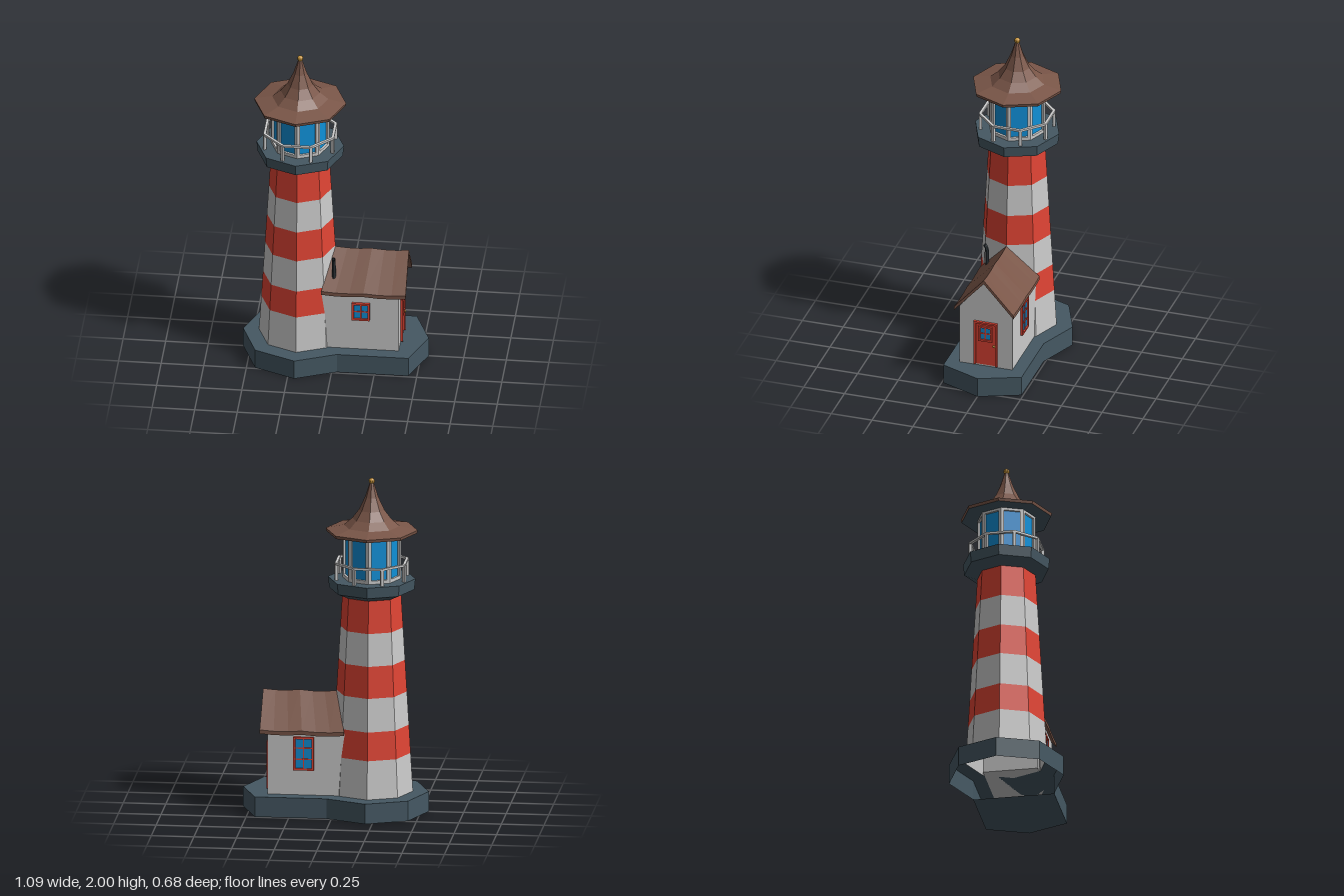
import * as THREE from 'three';

const mat = (color, side = THREE.FrontSide) =>
  new THREE.MeshStandardMaterial({ color, flatShading: true, side });
const pale = mat(0xcccccc), paleOpen = mat(0xcccccc, THREE.DoubleSide);
const red = mat(0xe04434), redOpen = mat(0xe04434, THREE.DoubleSide);
const slate = mat(0x455863, THREE.DoubleSide), brown = mat(0x7a5648);
const blue = mat(0x1090d8), gold = mat(0xc9963a), iron = mat(0x353d42);

const TX = -0.21; // tower axis
const V = (x, y) => new THREE.Vector2(x, y);

function add(parent, name, geo, material, x = 0, y = 0, z = 0) {
  const m = new THREE.Mesh(geo, material);
  m.name = name;
  m.position.set(x, y, z);
  parent.add(m);
  return m;
}
const box = (w, h, d) => new THREE.BoxGeometry(w, h, d);
const octLathe = pts => new THREE.LatheGeometry(pts.map(p => V(...p)), 8);
function group(parent, name, x = 0, y = 0, z = 0) {
  const g = new THREE.Group();
  g.name = name;
  g.position.set(x, y, z);
  parent.add(g);
  return g;
}

// Framed window facing +z
function windowUnit(parent, name, w, h, cols, rows, x, y, z) {
  const g = group(parent, name, x, y, z), f = 0.012;
  add(g, 'glass', box(w - f, h - f, 0.012), blue);
  for (const s of [-1, 1]) {
    add(g, 'frameSide', box(f, h, 0.03), red, s * (w - f) / 2);
    add(g, 'frameRail', box(w, f, 0.03), red, 0, s * (h - f) / 2);
  }
  for (let i = 1; i < cols; i++) add(g, 'mullion', box(0.007, h - f, 0.02), red, w * (i / cols - 0.5));
  for (let i = 1; i < rows; i++) add(g, 'crossbar', box(w - f, 0.007, 0.02), red, 0, h * (i / rows - 0.5));
  return g;
}

function buildPlinth(root) {
  const g = group(root, 'plinth');
  const half = [[-0.545, 0], [-0.45, 0.24], [-0.21, 0.34], [0.03, 0.24], [0.45, 0.24], [0.545, 0]];
  const ring = [...half, ...half.slice(1, 5).reverse().map(([x, z]) => [x, -z])];
  // walls
  const wall = new THREE.PlaneGeometry(1, 0.12, ring.length, 1);
  const p = wall.attributes.position;
  for (let i = 0; i < p.count; i++) {
    const [x, z] = ring[(i % (ring.length + 1)) % ring.length];
    p.setXYZ(i, x, p.getY(i) + 0.06, z);
  }
  add(g, 'plinthWalls', wall, slate);
  // top with an opening under the tower
  const top = new THREE.Shape(ring.map(q => V(...q)));
  const hole = [];
  for (let i = 0; i < 8; i++) hole.push(V(TX + 0.242 * Math.cos(i * Math.PI / 4), 0.242 * Math.sin(i * Math.PI / 4)));
  top.holes.push(new THREE.Path(hole));
  add(g, 'plinthTop', new THREE.ShapeGeometry(top).rotateX(-Math.PI / 2), slate, 0, 0.12);
  // closed underside below the house
  const under = new THREE.Shape(ring.slice(3, 8).map(q => V(...q)));
  add(g, 'plinthUnderside', new THREE.ShapeGeometry(under).rotateX(Math.PI / 2), slate);
}

function buildTower(root) {
  const g = group(root, 'tower', TX);
  const levels = [0.12, 0.35, 0.52, 0.72, 0.91, 1.105, 1.3];
  const r = y => 0.242 - 0.069 * (y - 0.12) / 1.18;
  for (let i = 0; i < 6; i++) {
    const a = levels[i], b = levels[i + 1];
    add(g, i % 2 ? 'redBand' : 'paleBand', new THREE.CylinderGeometry(r(b), r(a), b - a, 8, 1, true),
      i % 2 ? redOpen : paleOpen, 0, (a + b) / 2);
  }
  add(g, 'galleryDeck', octLathe([[0, 1.3], [0.172, 1.3], [0.25, 1.335], [0.257, 1.4], [0, 1.4]]), slate);

  // lantern room: eight frames round a glass core
  add(g, 'lanternGlass', new THREE.CylinderGeometry(0.158, 0.158, 0.28, 8), blue, 0, 1.54);
  const s = 0.066;
  const frame = new THREE.Shape([V(-s, 0), V(s, 0), V(s, 0.28), V(-s, 0.28)]);
  frame.holes.push(new THREE.Path([V(-0.048, 0.02), V(-0.048, 0.26), V(0.048, 0.26), V(0.048, 0.02)]));
  const frameGeo = new THREE.ExtrudeGeometry(frame, { depth: 0.018, bevelEnabled: false }).translate(0, 1.4, 0.141);
  // railing posts stand opposite the panes
  const R = 0.216, rail = group(g, 'railing');
  for (let i = 0; i < 8; i++) {
    const a = (i + 0.5) * Math.PI / 4;
    add(g, 'lanternFrame', frameGeo, pale).rotation.y = a;
    add(rail, 'railPost', box(0.017, 0.1, 0.017), pale, R * Math.sin(a), 1.45, R * Math.cos(a)).rotation.y = a;
    const b = i * Math.PI / 4, ap = R * Math.cos(Math.PI / 8);
    add(rail, 'handrail', box(2 * R * Math.sin(Math.PI / 8) + 0.006, 0.013, 0.016), pale,
      ap * Math.sin(b), 1.499, ap * Math.cos(b)).rotation.y = b;
  }

  add(g, 'lanternSoffit', octLathe([[0, 1.676], [0.266, 1.674]]), slate);
  add(g, 'lanternRoof', octLathe([[0.266, 1.674], [0.27, 1.692], [0.165, 1.715], [0.115, 1.757],
    [0.075, 1.81], [0.04, 1.885], [0.014, 1.965], [0, 1.985]]), brown);
  add(g, 'finial', new THREE.SphereGeometry(0.018, 10, 8), gold, 0, 1.982);
}

function buildHouse(root) {
  const g = group(root, 'house');
  const end = new THREE.Shape([V(-0.162, 0.12), V(0.162, 0.12), V(0.162, 0.495), V(0, 0.69), V(-0.162, 0.495)]);
  add(g, 'houseWalls', new THREE.ExtrudeGeometry(end, { depth: 0.465, bevelEnabled: false })
    .rotateY(Math.PI / 2).translate(-0.08, 0, 0), pale);

  // gently wavy roof slopes, trimmed back toward the tower at the ridge
  for (const side of [1, -1]) {
    const slope = new THREE.BoxGeometry(1, 0.023, 1, 6, 1, 1), p = slope.attributes.position;
    for (let i = 0; i < p.count; i++) {
      const u = p.getX(i) + 0.5, v = 0.5 + side * p.getZ(i);
      const x = THREE.MathUtils.lerp(-0.068 * v - 0.005 * (1 - v), 0.428, u);
      const wave = 0.004 * Math.cos(u * Math.PI * 4);
      p.setXYZ(i, x, p.getY(i) + 0.698 - 0.204 * v + wave, side * 0.182 * v);
    }
    add(g, 'houseRoofSlope', slope, brown);
  }

  // stovepipe with a bent top
  const path = new THREE.CatmullRomCurve3([[0, 0.56, 0.117], [0, 0.64, 0.117], [0, 0.685, 0.12], [0, 0.705, 0.132]]
    .map(q => new THREE.Vector3(...q)));
  add(g, 'stovepipe', new THREE.TubeGeometry(path, 8, 0.011, 8), mat(0x353d42, THREE.DoubleSide));

  windowUnit(g, 'frontWindow', 0.105, 0.115, 2, 2, 0.163, 0.378, 0.162);
  windowUnit(g, 'backWindow', 0.12, 0.2, 2, 3, 0.172, 0.37, -0.162).rotation.y = Math.PI;

  // door in the gable end
  const door = group(g, 'door', 0.385, 0.272, 0);
  door.rotation.y = Math.PI / 2;
  add(door, 'doorPanel', box(0.125, 0.28, 0.014), red);
  for (const s of [-1, 1]) add(door, 'doorJamb', box(0.012, 0.285, 0.03), red, s * 0.066);
  add(door, 'doorHead', box(0.144, 0.012, 0.03), red, 0, 0.137);
  windowUnit(door, 'doorWindow', 0.085, 0.1, 2, 2, 0, 0.068, 0.002);
  add(door, 'doorKnob', new THREE.SphereGeometry(0.008, 8, 6), gold, 0.053, -0.008, 0.014);
}

export function createModel() {
  const root = new THREE.Group();
  root.name = 'lighthouse';
  buildPlinth(root);
  buildTower(root);
  buildHouse(root);
  return root;
}
